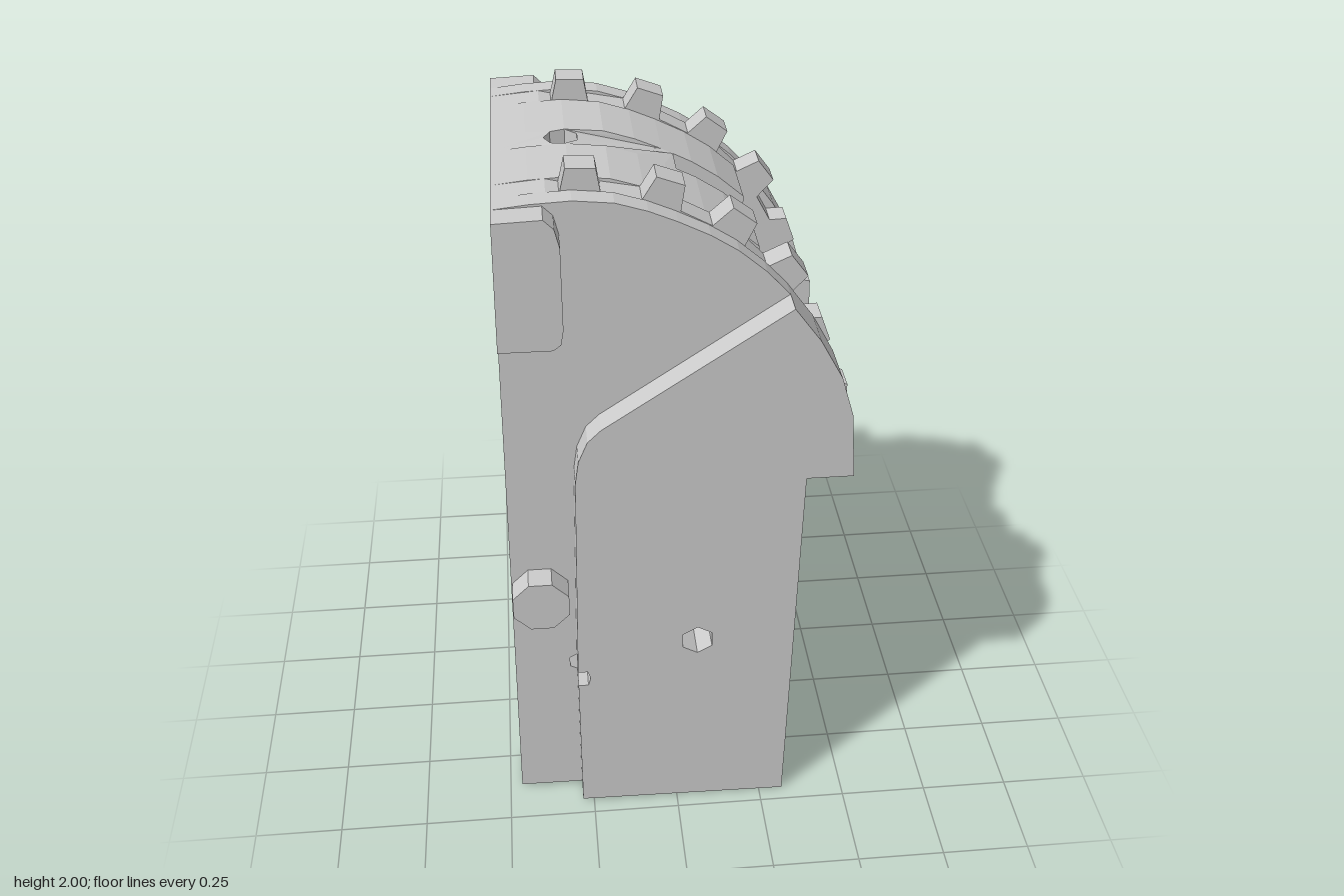
import * as THREE from 'three';

const material = new THREE.MeshStandardMaterial({ color: 0xcccccc, flatShading: true });

// Curved crown, from the back edge down to the overhanging lip
const ARC = [[-0.44, 1.93], [-0.35, 1.94], [-0.25, 1.945], [-0.15, 1.935], [-0.07, 1.91], [0, 1.88],
  [0.08, 1.84], [0.15, 1.795], [0.22, 1.735], [0.28, 1.67], [0.35, 1.575], [0.41, 1.465], [0.445, 1.35], [0.46, 1.16]];

function arcY(x) {
  for (let i = 1; i < ARC.length; i++) {
    const [x0, y0] = ARC[i - 1], [x1, y1] = ARC[i];
    if (x <= x1) return y0 + (y1 - y0) * (x - x0) / (x1 - x0);
  }
  return ARC[ARC.length - 1][1];
}

function polygon(cx, cy, r, sides) {
  return Array.from({ length: sides }, (_, i) => {
    const a = (i + 0.5) / sides * Math.PI * 2;
    return [cx + r * Math.cos(a), cy + r * Math.sin(a)];
  });
}

function extrude(outline, depth, holes = []) {
  const vec = (pts) => pts.map(([a, b]) => new THREE.Vector2(a, b));
  const shape = new THREE.Shape(vec(outline));
  holes.forEach((h) => shape.holes.push(new THREE.Path(vec(h))));
  return new THREE.ExtrudeGeometry(shape, { depth, bevelEnabled: false });
}

export function createModel() {
  const model = new THREE.Group();
  const add = (name, geometry) => {
    const mesh = new THREE.Mesh(geometry, material);
    mesh.name = name;
    model.add(mesh);
  };

  // Upright slab between |z| = z0 and z1 on the chosen side
  const slab = (name, side, z0, z1, outline, holes) =>
    add(name, extrude(outline, z1 - z0, holes).translate(0, 0, side > 0 ? z0 : -z1));

  // Horizontal block whose top follows a height rule
  const block = (name, outline, y0, top, holes) => {
    const g = extrude(outline, 1, holes).rotateX(-Math.PI / 2);
    const p = g.attributes.position;
    for (let i = 0; i < p.count; i++) p.setY(i, p.getY(i) > 0.5 ? top(p.getX(i)) : y0);
    g.computeVertexNormals();
    add(name, g);
  };

  const foot = [[-0.465, 0.01], [0.32, 0], [0.335, 1.16]];
  const wallOutline = [...foot, ...[...ARC].reverse()];

  // Toothed rail: gear teeth on a circle, ending on a small ledge
  const polar = (deg, r) => {
    const a = deg * Math.PI / 180;
    return [-0.25 + r * Math.cos(a), 1.3 + r * Math.sin(a)];
  };
  const railOutline = [...foot, [0.46, 1.16], [0.455, 1.36], polar(7, 0.63)];
  for (const a of [20, 36.5, 53, 70, 88]) {
    const tip = a < 30 ? 0.68 : 0.7;
    railOutline.push(polar(a - 4.5, 0.635), polar(a - 3, tip), polar(a + 3, tip), polar(a + 4.5, 0.635));
  }
  railOutline.push([-0.31, 1.942], [-0.44, 1.93]);

  // Raised outer panel with a notch in its rear edge
  const panelOutline = [[-0.283, 0.01], [0.32, 0], [0.335, 1.16], ...ARC.slice(9).reverse(),
    [-0.2, 1.345], [-0.235, 1.31], [-0.26, 1.25], [-0.27, 1.18],
    [-0.283, 0.525], [-0.255, 0.525], [-0.248, 0.5], [-0.255, 0.475], [-0.283, 0.475]];
  const cornerOutline = [[-0.445, 1.585], [-0.31, 1.585], [-0.29, 1.6], [-0.283, 1.64],
    [-0.283, 1.86], [-0.295, 1.91], [-0.32, 1.935], [-0.44, 1.93]];

  for (const side of [1, -1]) {
    const label = side > 0 ? 'front' : 'back';
    const sideHole = side > 0 ? [polygon(0.055, 0.62, 0.047, 6)] : [];
    const holes = [polygon(-0.275, 0.5, 0.032, 6), ...sideHole];
    slab(label + 'ToothedRail', side, 0.245, 0.32, railOutline, holes);
    slab(label + 'Wall', side, 0.32, 0.38, wallOutline, holes);
    slab(label + 'Panel', side, 0.38, 0.455, panelOutline, sideHole);
    slab(label + 'CornerBlock', side, 0.38, 0.455, cornerOutline);
    slab(label + 'Peg', side, 0.38, 0.45, polygon(-0.375, 0.77, 0.083, 8));
  }

  // End plate with a round hole, leaning slightly outward
  const plate = extrude([[-0.245, 0], [0.245, 0], [0.245, 1.16], [-0.245, 1.16]], 0.1,
    [polygon(0, 0.43, 0.093, 8)]).rotateY(Math.PI / 2).translate(0.22, 0, 0);
  const pp = plate.attributes.position;
  for (let i = 0; i < pp.count; i++) {
    if (pp.getX(i) > 0.3) pp.setX(i, 0.32 + 0.015 * pp.getY(i) / 1.16);
  }
  plate.computeVertexNormals();
  add('endPlate', plate);
  add('lip', new THREE.BoxGeometry(0.24, 0.12, 0.49).translate(0.34, 1.22, 0));

  // Bridge over the channel, left and right of the slot
  const bridgeOutline = [[-0.44, 1.56], [0.22, 1.56], ...ARC.slice(0, 9).reverse()];
  for (const side of [1, -1]) slab('bridge', side, 0.047, 0.245, bridgeOutline);

  // Middle of the bridge: crown with a through hole, then the slot floor with a blind hole
  const w = 0.047;
  const xs = [...ARC.map(([x]) => x).filter((x) => x < 0.03), 0.03];
  block('bridgeCrown', [...xs.map((x) => [x, -w]), ...[...xs].reverse().map((x) => [x, w])],
    1.56, arcY, [polygon(-0.26, 0, 0.045, 7)]);
  const slotOutline = [[0.03, -w], [0.22, -w], [0.22, w], [0.03, w]];
  block('slotFloor', slotOutline, 1.59, () => 1.7, [polygon(0.075, 0, 0.042, 7)]);
  block('slotBase', slotOutline, 1.56, () => 1.59);

  return model;
}
